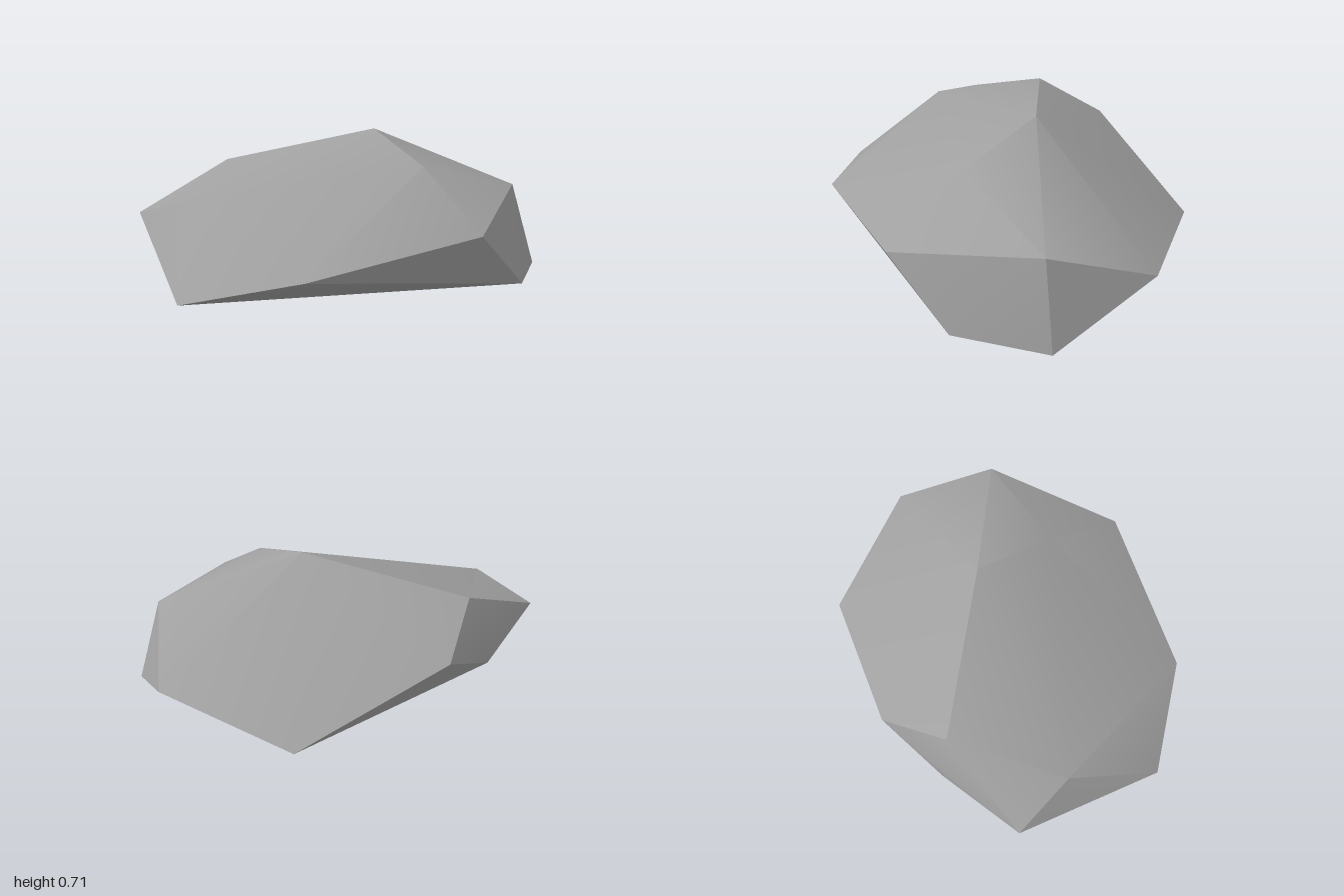
import * as THREE from 'three';
import { ConvexGeometry } from 'three/addons/geometries/ConvexGeometry.js';
import { toCreasedNormals } from 'three/addons/utils/BufferGeometryUtils.js';

export function createModel() {
  const group = new THREE.Group();
  group.name = 'rock';

  const stone = new THREE.MeshStandardMaterial({ color: 0xa0a0a0 });
  stone.name = 'stone grey';

  // Corners of the faceted boulder
  const corners = [
    // upper ridge and shoulders
    [0.2, 0.715, -0.08], [-0.51, 0.53, -0.46], [0.3, 0.575, 0.34],
    [0.87, 0.43, 0.2], [-0.84, 0.4, 0.04],
    // widest ring
    [-1, 0.31, -0.26], [-0.42, 0.2, 0.81], [0.41, 0.32, 0.76],
    [0.97, 0.24, -0.31], [-0.28, 0.37, -0.735],
    // underside
    [-0.91, 0.065, 0.53], [0.72, 0.022, 0.59], [1, 0, 0.22],
    [0.485, 0.13, -0.81], [-0.6, 0.19, -0.535],
  ].map((p) => new THREE.Vector3(...p));

  // Shallow edges blend, strong ones stay crisp
  const geometry = toCreasedNormals(new ConvexGeometry(corners), THREE.MathUtils.degToRad(30));
  const boulder = new THREE.Mesh(geometry, stone);
  boulder.name = 'boulder';
  group.add(boulder);
  return group;
}
